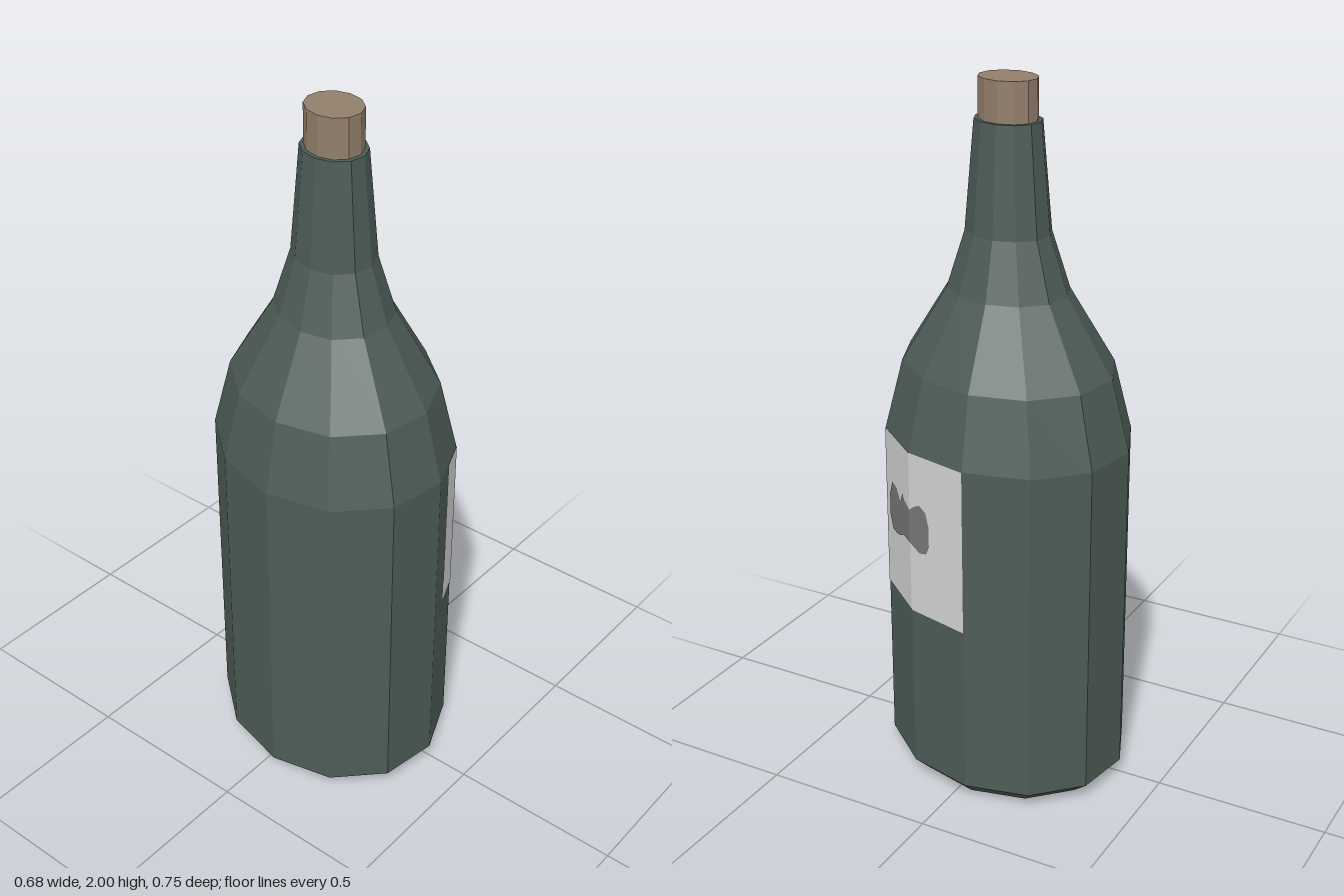
import * as THREE from 'three';

// The plan is a slightly skewed twelve-sided ellipse
const SIDES = 12;
const corner = (i, k = 1) => {
  const t = (i / SIDES) * Math.PI * 2;
  const c = Math.cos(t) * k, s = Math.sin(t) * k;
  return [0.007 * c + 0.34 * s, -0.375 * c - 0.045 * s];
};

// Point on the flat wall between corners; u counts corners
const wallPoint = (u, k) => {
  const i = Math.floor(u), f = u - i;
  const a = corner(i, k), b = corner(i + 1, k);
  return [a[0] + (b[0] - a[0]) * f, a[1] + (b[1] - a[1]) * f];
};

// Corner count u on the front right wall where it reaches a given z
const uAtZ = (z) => {
  let i = 3;
  while (i < 5 && corner(i + 1)[1] < z) i++;
  const z0 = corner(i)[1], z1 = corner(i + 1)[1];
  return i + (z - z0) / (z1 - z0);
};

const toGeometry = (positions) => {
  const g = new THREE.BufferGeometry();
  g.setAttribute('position', new THREE.Float32BufferAttribute(positions, 3));
  g.computeVertexNormals();
  return g;
};

// Closed solid through rings of [y, scale]
function loft(rings) {
  const p = [];
  const at = (r, i) => {
    const [x, z] = corner(i, r[1]);
    return [x, r[0], z];
  };
  const first = rings[0], last = rings[rings.length - 1];
  for (let i = 0; i < SIDES; i++) {
    for (let j = 0; j < rings.length - 1; j++) {
      const a = at(rings[j], i), b = at(rings[j], i + 1);
      const d = at(rings[j + 1], i), c = at(rings[j + 1], i + 1);
      p.push(...a, ...d, ...c, ...a, ...c, ...b);
    }
    p.push(0, first[0], 0, ...at(first, i), ...at(first, i + 1));
    p.push(0, last[0], 0, ...at(last, i + 1), ...at(last, i));
  }
  return toGeometry(p);
}

// Thin skin wrapped on the wall, from columns of [u, bottom, top]
function wrap(columns, k) {
  const p = [];
  for (let j = 0; j < columns.length - 1; j++) {
    const [u0, b0, t0] = columns[j], [u1, b1, t1] = columns[j + 1];
    const [x0, z0] = wallPoint(u0, k), [x1, z1] = wallPoint(u1, k);
    p.push(x0, b0, z0, x0, t0, z0, x1, t1, z1);
    p.push(x0, b0, z0, x1, t1, z1, x1, b1, z1);
  }
  return toGeometry(p);
}

export function createModel() {
  const material = (name, color) => {
    const m = new THREE.MeshStandardMaterial({ color, flatShading: true });
    m.name = name;
    return m;
  };
  const glass = material('green glass', 0x4d5c56);
  const corkBrown = material('cork brown', 0x937f6c);
  const paper = material('label paper', 0xd4d4d4);
  const ink = material('label ink', 0x777777);

  const group = new THREE.Group();
  group.name = 'bottle';
  const add = (name, geometry, mat) => {
    const mesh = new THREE.Mesh(geometry, mat);
    mesh.name = name;
    group.add(mesh);
  };

  // Bottle: chamfered foot, straight body, shoulder and neck
  add('bottleBody', loft([
    [0, 0.86], [0.045, 1], [1.02, 1], [1.22, 0.853],
    [1.43, 0.488], [1.59, 0.341], [1.89, 0.265],
  ]), glass);

  // Stopper
  add('cork', loft([[1.87, 0.232], [2, 0.232]]), corkBrown);

  // Label around the front right of the body
  add('label', wrap([3, 4, 5, 5.54].map((u) => [u, 0.54, 1.02]), 1.006), paper);

  // Printed blot on the label: [z, bottom, top]
  const blot = [
    [0.076, 0.76, 0.82], [0.087, 0.735, 0.86], [0.11, 0.73, 0.875],
    [0.13, 0.74, 0.865], [0.148, 0.752, 0.85], [0.175, 0.752, 0.86],
    [0.19, 0.75, 0.875], [0.204, 0.74, 0.842], [0.23, 0.73, 0.87],
    [0.257, 0.73, 0.875], [0.275, 0.765, 0.83],
  ];
  add('labelPrint', wrap(blot.map(([z, b, t]) => [uAtZ(z), b, t]), 1.012), ink);

  return group;
}
